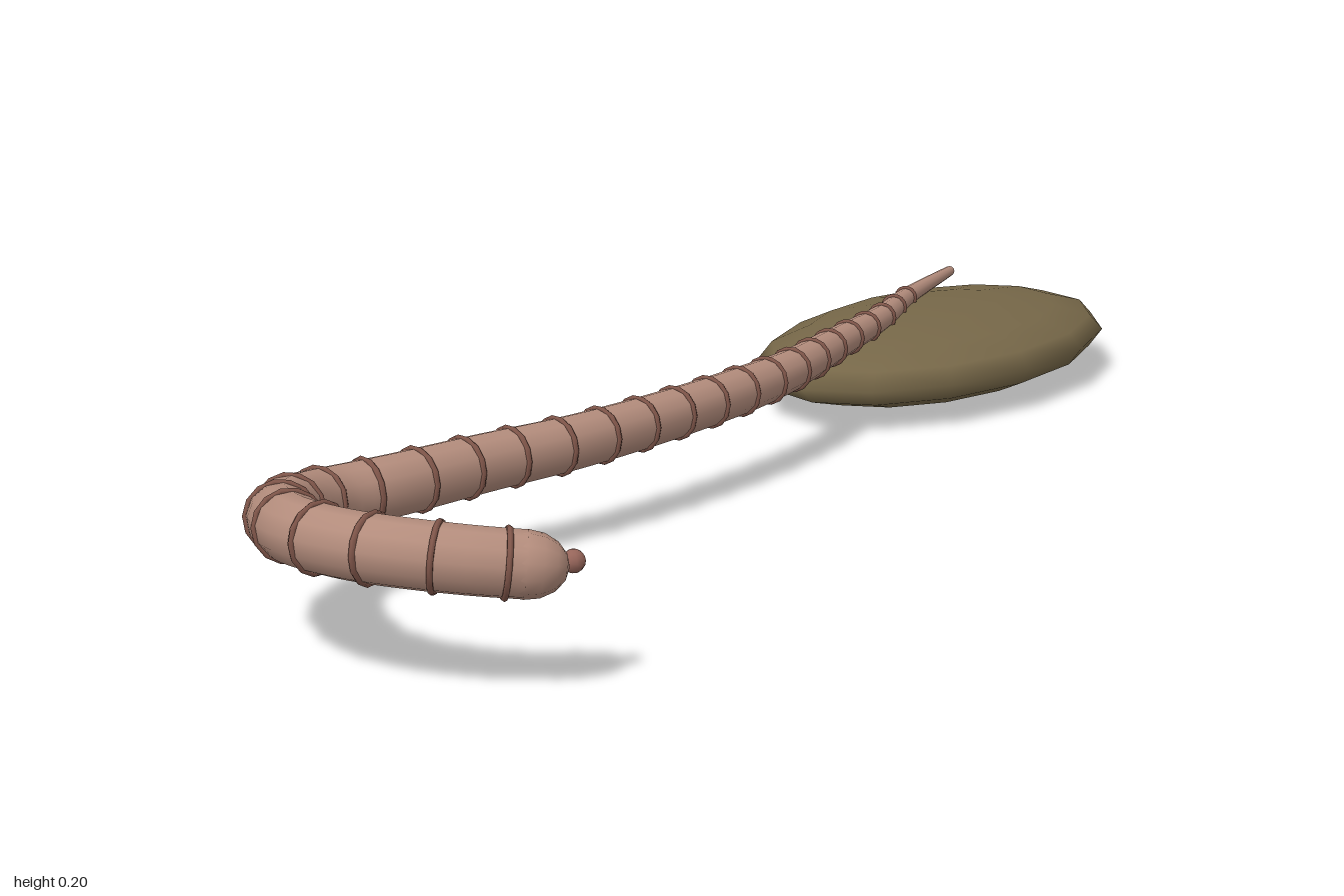
import * as THREE from 'three';

const material = (name, color) => new THREE.MeshStandardMaterial({ name, color });

// Body centre line from tail to head, as [x, y, z]
const path = [
  [-0.197, 0.131, -0.825], [-0.155, 0.129, -0.625], [-0.11, 0.128, -0.475],
  [-0.075, 0.127, -0.3], [-0.037, 0.126, -0.1], [-0.028, 0.126, 0.12],
  [-0.047, 0.125, 0.35], [-0.08, 0.124, 0.5], [-0.107, 0.123, 0.64],
  [-0.127, 0.123, 0.715], [-0.12, 0.13, 0.78], [-0.085, 0.141, 0.85],
  [-0.032, 0.152, 0.905], [0.026, 0.157, 0.94], [0.095, 0.158, 0.95],
  [0.163, 0.157, 0.94], [0.227, 0.151, 0.907], [0.27, 0.145, 0.872],
].map((p) => new THREE.Vector3(...p));

// Body radius along its length
const radii = [[0, 0.008], [0.1, 0.014], [0.2, 0.02], [0.3, 0.026], [0.4, 0.031],
  [0.55, 0.034], [0.7, 0.038], [0.85, 0.0385], [1, 0.037]];
function radiusAt(u) {
  const i = Math.max(1, radii.findIndex((r) => r[0] >= u - 1e-6));
  const [u0, r0] = radii[i - 1], [u1, r1] = radii[i];
  return THREE.MathUtils.mapLinear(u, u0, u1, r0, r1);
}

export function createModel() {
  const group = new THREE.Group();
  const skin = material('skin pink', 0xb38c7c);
  const ringColor = material('ring brown', 0x80564a);
  const tipColor = material('tip rose', 0x96655a);
  const earth = material('earth brown', 0x766748);

  const curve = new THREE.CatmullRomCurve3(path);
  const length = curve.getLength();
  const zAxis = new THREE.Vector3(0, 0, 1);
  const add = (name, geometry, mat) => {
    const mesh = new THREE.Mesh(geometry, mat);
    mesh.name = name;
    group.add(mesh);
    return mesh;
  };
  const placeOnCurve = (mesh, u) => {
    mesh.position.copy(curve.getPointAt(u));
    mesh.quaternion.setFromUnitVectors(zAxis, curve.getTangentAt(u));
  };

  // Flattened mound of soil
  const mound = add('mound', new THREE.SphereGeometry(1, 14, 8).rotateY(Math.PI / 2), earth);
  mound.scale.set(0.21, 0.062, 0.37);
  mound.position.set(-0.11, 0.062, -0.63);

  // Tapered body: a tube whose cross-sections are scaled about the centre line
  const steps = 108, sides = 12;
  const body = new THREE.TubeGeometry(curve, steps, 1, sides);
  const pos = body.attributes.position;
  const v = new THREE.Vector3();
  for (let i = 0; i <= steps; i++) {
    const centre = curve.getPointAt(i / steps);
    for (let j = 0; j <= sides; j++) {
      const k = i * (sides + 1) + j;
      v.fromBufferAttribute(pos, k).sub(centre).multiplyScalar(radiusAt(i / steps)).add(centre);
      pos.setXYZ(k, v.x, v.y, v.z);
    }
  }
  add('body', body, skin);

  // Rounded ends
  const end = new THREE.SphereGeometry(1, 12, 8).rotateX(Math.PI / 2);
  const head = add('head', end, skin);
  head.scale.set(0.037, 0.037, 0.046);
  placeOnCurve(head, 1);
  const tail = add('tail', end, skin);
  tail.scale.set(0.008, 0.008, 0.013);
  placeOnCurve(tail, 0);

  // Small tip on the head
  const tip = add('headTip', new THREE.SphereGeometry(0.013, 10, 8), tipColor);
  tip.position.set(0.3, 0.143, 0.829);

  // Segment rings
  const count = 27, first = 0.209 / length, last = 1 - 0.02 / length;
  for (let i = 0; i < count; i++) {
    const u = THREE.MathUtils.lerp(first, last, i / (count - 1));
    const ring = add('ring', new THREE.TorusGeometry(radiusAt(u), 0.0038, 6, 14), ringColor);
    placeOnCurve(ring, u);
  }
  return group;
}
